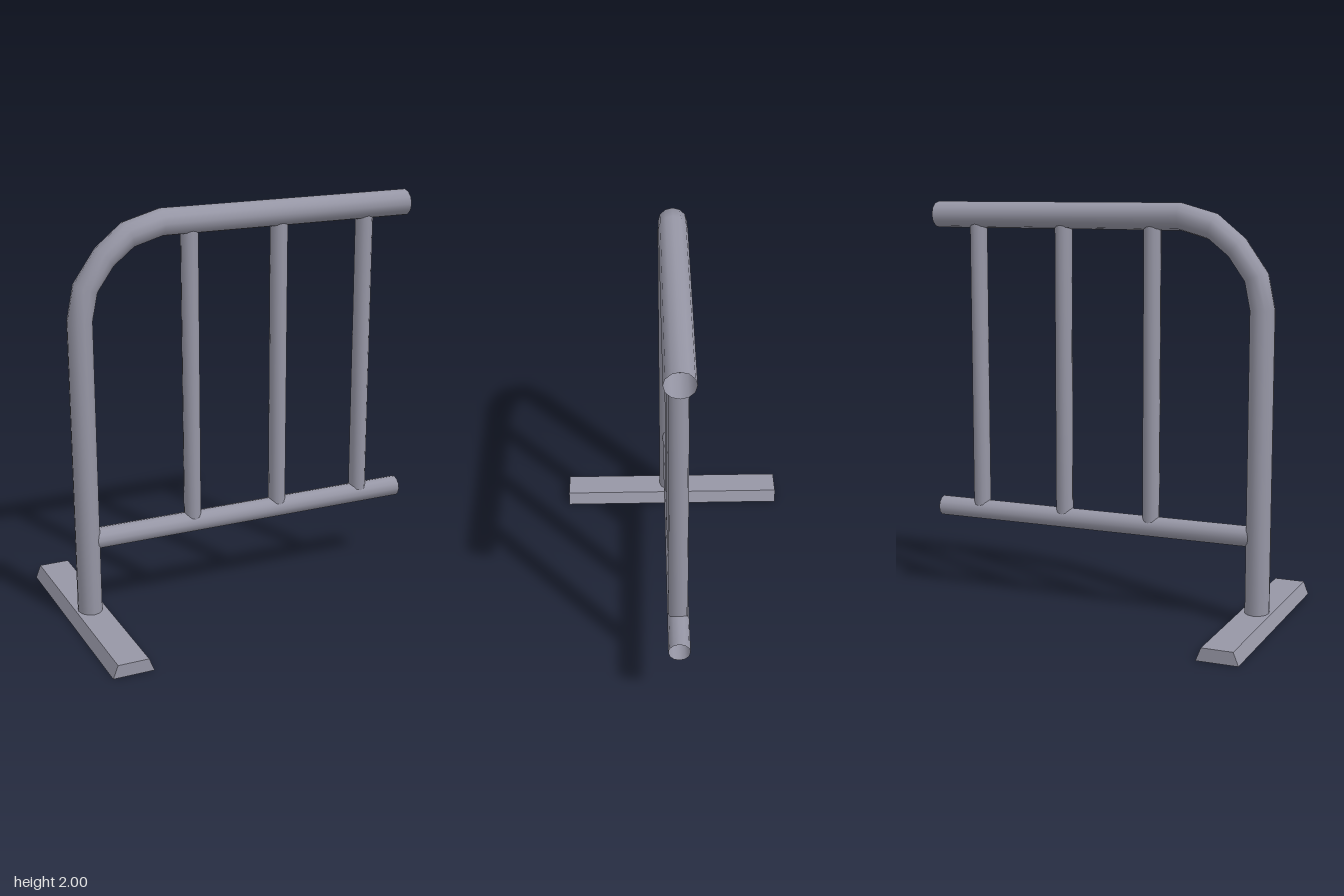
import * as THREE from 'three';

const SIDES = 12;
const COLOR = 0x9696a5;
const pipeMaterial = new THREE.MeshStandardMaterial({ color: COLOR, side: THREE.DoubleSide });
const footMaterial = new THREE.MeshStandardMaterial({ color: COLOR });

// Open pipe lofted through rings, each given by an outer and an inner edge point in the xy plane.
function pipe(name, rings, depth) {
  const position = [], index = [];
  rings.forEach(([ox, oy, ix, iy], r) => {
    for (let s = 0; s < SIDES; s++) {
      const a = (s / SIDES) * Math.PI * 2, c = Math.cos(a) / 2;
      position.push((ox + ix) / 2 + (ox - ix) * c, (oy + iy) / 2 + (oy - iy) * c, depth * Math.sin(a));
      if (r === 0) continue;
      const n = (s + 1) % SIDES, lo = (r - 1) * SIDES, hi = r * SIDES;
      index.push(lo + s, lo + n, hi + s, lo + n, hi + n, hi + s);
    }
  });
  const geometry = new THREE.BufferGeometry();
  geometry.setAttribute('position', new THREE.Float32BufferAttribute(position, 3));
  geometry.setIndex(index);
  geometry.computeVertexNormals();
  const mesh = new THREE.Mesh(geometry, pipeMaterial);
  mesh.name = name;
  return mesh;
}

export function createModel() {
  const group = new THREE.Group();
  group.name = 'barrier';

  // Post that bends over into the top rail, mitred at each bend
  group.add(pipe('bentFrame', [
    [-0.863, 0.03, -0.745, 0.03],
    [-0.863, 1.51, -0.745, 1.51],
    [-0.828, 1.68, -0.718, 1.64],
    [-0.715, 1.84, -0.64, 1.75],
    [-0.58, 1.95, -0.54, 1.83],
    [-0.40, 2.0, -0.40, 1.87],
    [0.9, 2.0, 0.9, 1.87],
  ], 0.07));

  // Lower rail, running into the post
  group.add(pipe('lowerRail', [
    [-0.79, 0.482, -0.79, 0.38],
    [0.9, 0.482, 0.9, 0.38],
  ], 0.052));

  // Upright bars, ending inside both rails
  for (const x of [-0.257, 0.207, 0.673]) {
    group.add(pipe('uprightBar', [
      [x - 0.042, 0.425, x + 0.042, 0.425],
      [x - 0.042, 1.96, x + 0.042, 1.96],
    ], 0.046));
  }

  // Foot with sloped long sides
  const section = new THREE.Shape([
    new THREE.Vector2(-0.9, 0), new THREE.Vector2(-0.7, 0),
    new THREE.Vector2(-0.725, 0.063), new THREE.Vector2(-0.875, 0.063),
  ]);
  const foot = new THREE.Mesh(
    new THREE.ExtrudeGeometry(section, { depth: 1.18, bevelEnabled: false }), footMaterial);
  foot.position.z = -0.59;
  foot.name = 'foot';
  group.add(foot);

  return group;
}
